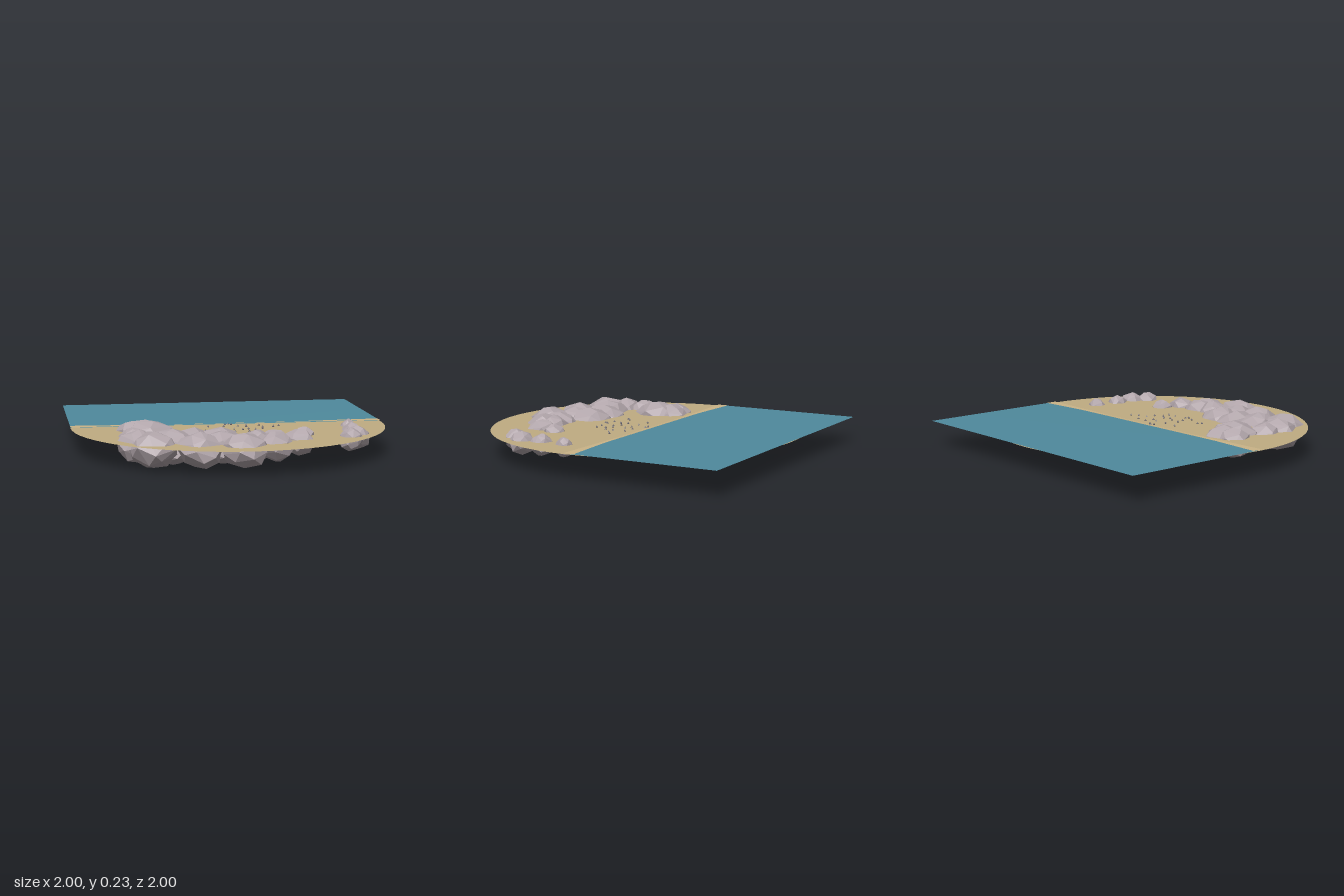
import * as THREE from 'three';
import { ConvexGeometry } from 'three/addons/geometries/ConvexGeometry.js';

function makeRandom(seed) {
  return () => {
    seed = (seed * 16807) % 2147483647;
    return seed / 2147483647;
  };
}

function material(name, color, extra = {}) {
  return new THREE.MeshStandardMaterial({ name, color, ...extra });
}

const GROUND = 0.155;

export function createModel() {
  const model = new THREE.Group();
  model.name = 'cove';
  const random = makeRandom(4711);

  const sand = material('sand', 0xc0ad82, { side: THREE.DoubleSide });
  const paleSand = material('pale sand', 0xcbb488, { side: THREE.DoubleSide });
  const water = material('water', 0x4f8a9d, { side: THREE.DoubleSide });
  const stone = material('stone', 0xb3a7ac, { flatShading: true });
  const slate = material('slate', 0x747079, { flatShading: true });

  function add(parent, name, geometry, mat) {
    const mesh = new THREE.Mesh(geometry, mat);
    mesh.name = name;
    parent.add(mesh);
    return mesh;
  }

  // Round sand bed
  const bed = add(model, 'sandBed', new THREE.CircleGeometry(1, 64).rotateX(-Math.PI / 2), sand);
  bed.position.y = GROUND;

  // Sea sheet: flat, with its front lip dipping under the sand
  const seaGeometry = new THREE.PlaneGeometry(2, 1, 1, 2).rotateX(-Math.PI / 2);
  const seaRows = [[-1, 0.159], [-0.04, 0.159], [-0.01, 0.149]];
  const p = seaGeometry.attributes.position;
  for (let i = 0; i < p.count; i++) {
    const [z, y] = seaRows[Math.floor(i / 2)];
    p.setXYZ(i, p.getX(i), y, z);
  }
  seaGeometry.computeVertexNormals();
  add(model, 'sea', seaGeometry, water);

  // Shore strip, wider towards both ends
  const shore = new THREE.Shape([
    [-1, 0.07], [-0.4, 0.03], [0.4, 0.03], [1, 0.07], [1, 0], [0.4, 0.022], [-0.4, 0.022], [-1, 0],
  ].map(([x, y]) => new THREE.Vector2(x, y)));
  const strip = add(model, 'shoreStrip', new THREE.ShapeGeometry(shore).rotateX(-Math.PI / 2), paleSand);
  strip.position.y = 0.161;

  // Faceted boulder: convex hull of the poles and scattered sphere points
  function boulderGeometry(radius, halfHeight) {
    const points = [new THREE.Vector3(0, halfHeight, 0), new THREE.Vector3(0, -halfHeight, 0)];
    const count = 26;
    const turn = random() * Math.PI * 2;
    for (let i = 0; i < count; i++) {
      const h = 1 - (2 * (i + 0.5)) / count;
      const a = turn + i * 2.4 + (random() - 0.5) * 0.7;
      const s = 0.9 + random() * 0.16;
      const w = Math.sqrt(1 - h * h) * s;
      points.push(new THREE.Vector3(
        Math.cos(a) * w * radius,
        THREE.MathUtils.clamp(h * s, -0.97, 0.97) * halfHeight,
        Math.sin(a) * w * radius,
      ));
    }
    return new ConvexGeometry(points);
  }

  // Boulders as [x, z, radius]; larger ones sit deeper
  function boulders(name, list) {
    const group = new THREE.Group();
    group.name = name;
    list.forEach(([x, z, r]) => {
      const rock = add(group, 'boulder', boulderGeometry(r, 0.035 + 0.47 * r), stone);
      rock.position.set(x, 0.15 - 0.206 * r, z);
    });
    model.add(group);
  }

  boulders('mainRocks', [
    [-0.62, 0.13, 0.11], [-0.54, 0.13, 0.135], [-0.53, 0.22, 0.17],
    [-0.64, 0.39, 0.11], [-0.62, 0.52, 0.14], [-0.54, 0.63, 0.16],
  ]);
  boulders('middleRocks', [
    [-0.42, 0.55, 0.16], [-0.27, 0.68, 0.16], [-0.28, 0.49, 0.145],
    [-0.12, 0.51, 0.15], [-0.13, 0.63, 0.14], [-0.02, 0.76, 0.15],
    [0.07, 0.62, 0.13], [0.18, 0.6, 0.115], [0.18, 0.68, 0.12],
    [0.34, 0.58, 0.1], [0.4, 0.45, 0.075],
  ]);
  boulders('sideRocks', [
    [0.745, 0.16, 0.058], [0.73, 0.33, 0.073], [0.73, 0.47, 0.085], [0.67, 0.55, 0.078],
  ]);

  // Pebbles scattered over the open sand
  const pebbles = new THREE.Group();
  pebbles.name = 'pebbles';
  const spots = [
    [-0.14, 0.08], [0, 0], [0.11, 0.05], [0.1, 0.11], [0.19, 0.06], [0.31, 0.1], [0.27, 0.13],
    [0.1, 0.2], [0.14, 0.23], [0.01, 0.19], [-0.05, 0.23], [-0.06, 0.18], [0, 0.3], [0.09, 0.29],
    [0.19, 0.2], [-0.18, 0.24], [-0.2, 0.26], [-0.04, 0.09], [-0.01, 0.32], [0.02, 0.01],
    [-0.02, 0.01], [0.15, 0.29], [0.06, 0.22], [0.05, 0.09], [0.2, 0.14], [-0.07, 0.29],
  ];
  spots.forEach(([x, z]) => {
    const pebble = add(pebbles, 'pebble', new THREE.OctahedronGeometry(0.008, 0), slate);
    pebble.position.set(x, GROUND + 0.002, z);
    pebble.scale.y = 1.4;
    pebble.rotation.y = random() * Math.PI;
  });
  model.add(pebbles);

  return model;
}
